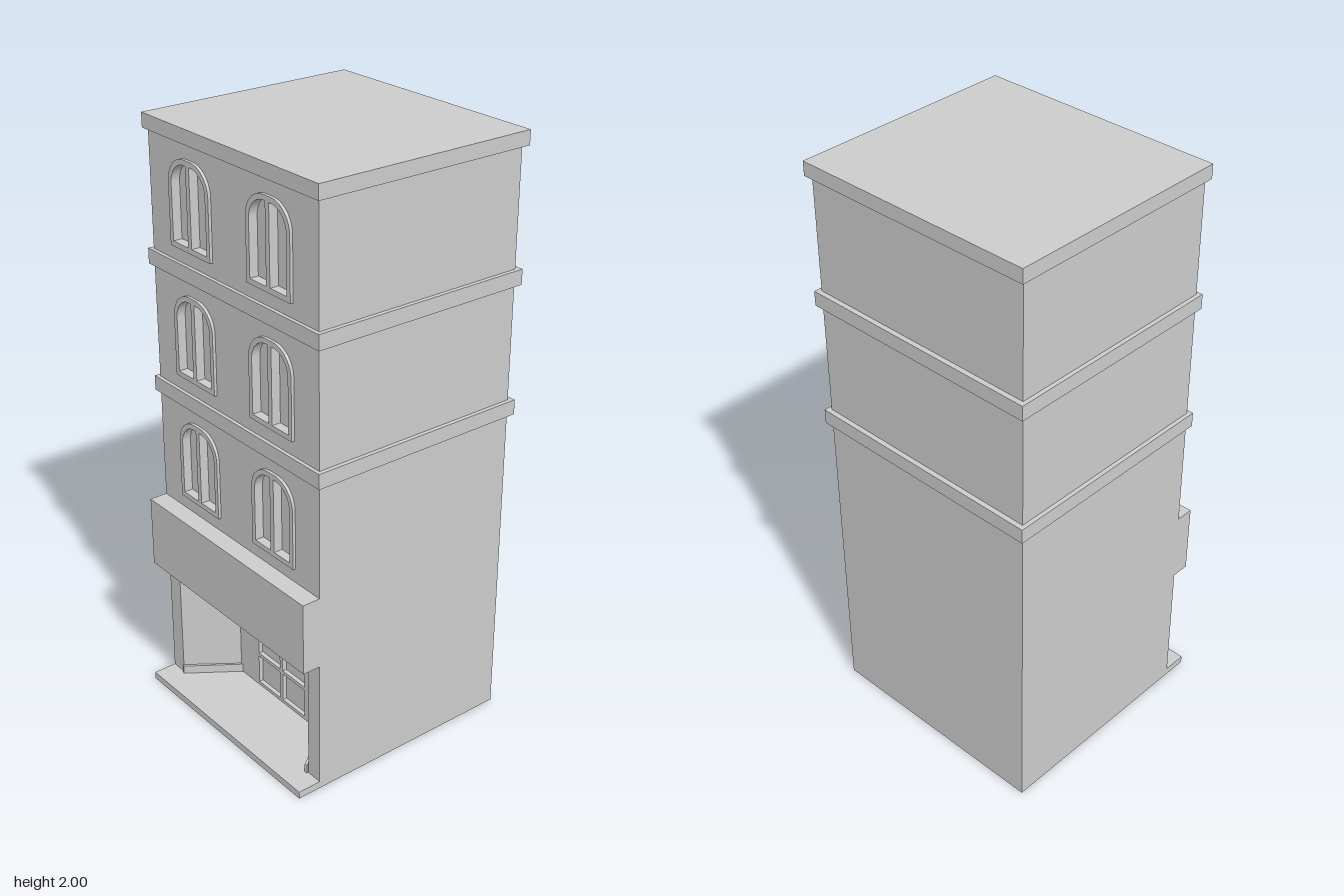
import * as THREE from 'three';

const material = new THREE.MeshStandardMaterial({ color: 0xcccccc, flatShading: true });
const HALF = 0.408, BACK = -0.405, FRONT = 0.34, CORE = 0.32;
const SHOP_TOP = 0.465, FLOOR = 0.025, RECESS = 0.18;

export function createModel() {
  const model = new THREE.Group();

  const add = (name, geometry, parent = model) => {
    const mesh = new THREE.Mesh(geometry, material);
    mesh.name = name;
    parent.add(mesh);
    return mesh;
  };
  // Box given by its limits on each axis
  const block = (name, x0, x1, y0, y1, z0, z1) => {
    const g = new THREE.BoxGeometry(x1 - x0, y1 - y0, z1 - z0);
    return add(name, g.translate((x0 + x1) / 2, (y0 + y1) / 2, (z0 + z1) / 2));
  };
  const polygon = (points) => new THREE.Shape(points.map(([x, y]) => new THREE.Vector2(x, y)));
  const rect = (x0, x1, y0, y1) => polygon([[x0, y0], [x1, y0], [x1, y1], [x0, y1]]);
  // Rectangle whose top corners are rounded by the radii rl and rr
  const arched = (x0, x1, y0, y1, rl, rr) => {
    const s = new THREE.Shape();
    s.moveTo(x0, y0);
    s.lineTo(x1, y0);
    s.lineTo(x1, y1 - rr);
    if (rr) s.absarc(x1 - rr, y1 - rr, rr, 0, Math.PI / 2, false);
    else s.lineTo(x1, y1);
    s.lineTo(x0 + rl, y1);
    if (rl) s.absarc(x0 + rl, y1 - rl, rl, Math.PI / 2, Math.PI, false);
    else s.lineTo(x0, y1);
    s.closePath();
    return s;
  };
  // Upright panel between two depths
  const panel = (shape, holes, z0, z1) => {
    shape.holes.push(...holes);
    return new THREE.ExtrudeGeometry(shape, { depth: z1 - z0, bevelEnabled: false, curveSegments: 8 })
      .translate(0, 0, z0);
  };
  // Floor plan (x, z) raised between two heights
  const raised = (shape, y0, y1) =>
    new THREE.ExtrudeGeometry(shape, { depth: y1 - y0, bevelEnabled: false })
      .rotateX(Math.PI / 2).translate(0, y1, 0);

  // Ground slab and shop floor with its splayed recess
  block('baseSlab', -HALF, HALF, 0, FLOOR, BACK, 0.422);
  const wallBack = RECESS - 0.015;
  add('groundFloor', raised(polygon([
    [-HALF, BACK], [HALF, BACK], [HALF, FRONT], [0.35, FRONT], [0.23, RECESS], [0.23, wallBack],
    [-0.23, wallBack], [-0.23, RECESS], [-0.35, FRONT], [-HALF, FRONT],
  ]), FLOOR, SHOP_TOP));

  // Shop window: four sunk panes in the rear wall of the recess
  const shopPanes = [];
  for (const [x0, x1] of [[-0.125, -0.008], [0.008, 0.125]])
    for (const [y0, y1] of [[0.037, 0.142], [0.155, 0.28]]) shopPanes.push(rect(x0, x1, y0, y1));
  add('shopWindowWall', panel(rect(-0.23, 0.23, FLOOR, SHOP_TOP), shopPanes, wallBack, RECESS));

  // Skirting along the splayed walls
  for (const s of [-1, 1])
    add(s > 0 ? 'leftSkirting' : 'rightSkirting', raised(polygon([
      [s * 0.35, 0.345], [s * 0.23, RECESS], [s * 0.222, RECESS], [s * 0.34, 0.347],
    ]), FLOOR, 0.055));

  // Fascia over the shop
  block('fascia', -HALF, HALF, SHOP_TOP, 0.71, FRONT, 0.402);

  // Upper storeys: solid core, pierced front wall, arched window frames
  block('upperCore', -HALF, HALF, SHOP_TOP, 1.96, BACK, CORE);
  const openings = [];
  for (const y of [0.758, 1.19, 1.62])
    for (const x of [-0.194, 0.191]) {
      const outline = () => arched(x - 0.102, x + 0.102, y, y + 0.285, 0.085, 0.085);
      openings.push(outline());
      const panes = [
        arched(x - 0.086, x - 0.009, y + 0.017, y + 0.268, 0.07, 0),
        arched(x + 0.009, x + 0.086, y + 0.017, y + 0.268, 0, 0.07),
      ];
      add('windowFrame', panel(outline(), panes, CORE, 0.35));
    }
  add('upperFrontWall', panel(rect(-HALF, HALF, SHOP_TOP, 1.96), openings, CORE, FRONT));

  // Storey bands and flat roof slab
  for (const [name, y0, y1] of [['lowerBand', 1.09, 1.14], ['upperBand', 1.523, 1.573], ['roofSlab', 1.953, 2]])
    block(name, -0.422, 0.422, y0, y1, -0.422, 0.352);

  return model;
}
